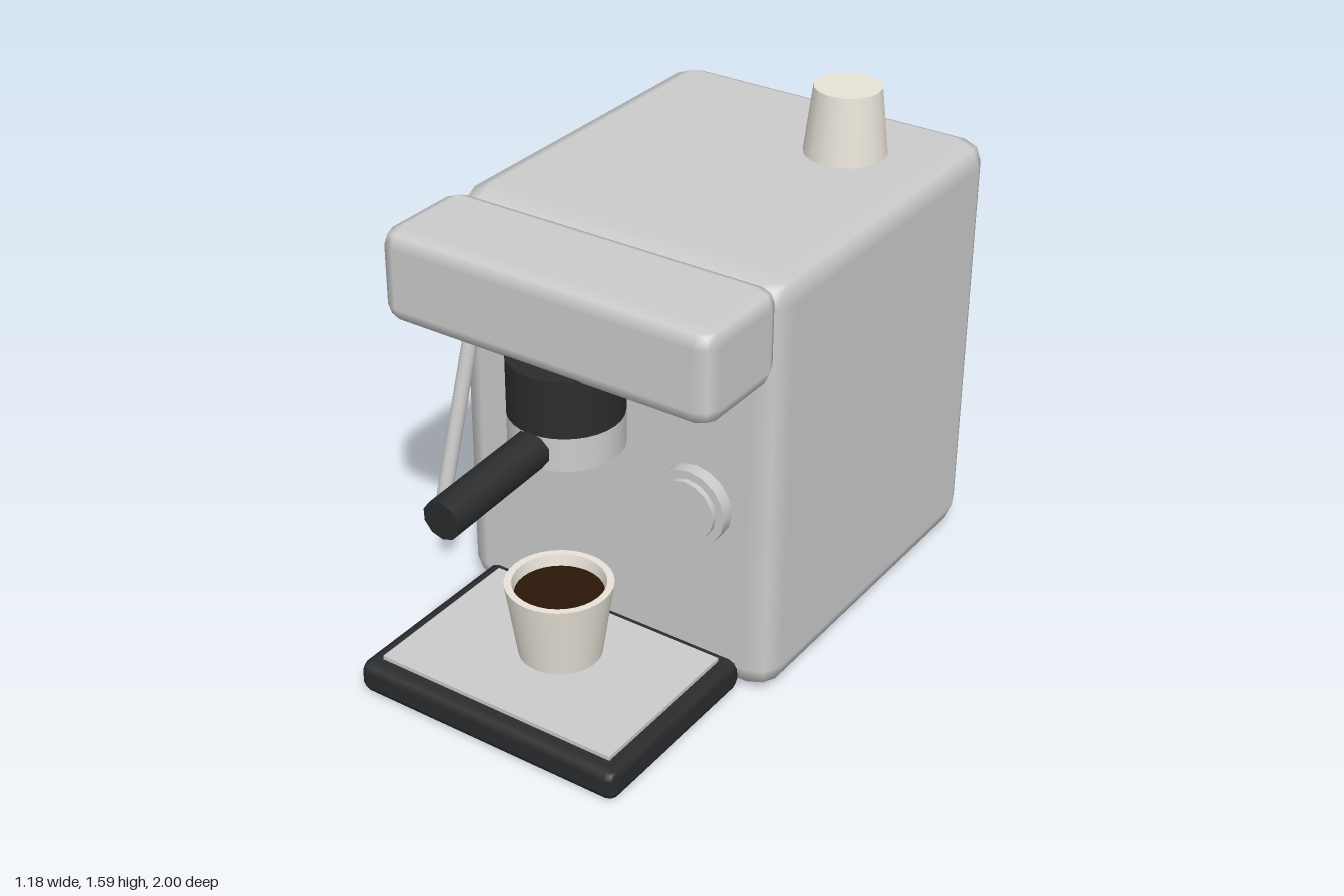
import * as THREE from 'three';
import { RoundedBoxGeometry } from 'three/addons/geometries/RoundedBoxGeometry.js';

const CX = 0.0275; // centre line of the machine (the side knob shifts it off zero)

export function createModel() {
  const model = new THREE.Group();
  const material = (color) => new THREE.MeshStandardMaterial({ color });
  const steel = material(0xcccccc);
  const black = material(0x2a2c2e);
  const cream = material(0xe8e3d8);
  const coffee = material(0x2c1508);

  const add = (name, geometry, mat, x = 0, y = 0, z = 0) => {
    const mesh = new THREE.Mesh(geometry, mat);
    mesh.name = name;
    mesh.position.set(x, y, z);
    model.add(mesh);
    return mesh;
  };

  // Bevelled box given by its extents, two facets per edge
  const block = (name, [x0, x1], [y0, y1], [z0, z1], radius, mat) =>
    add(name, new RoundedBoxGeometry(x1 - x0, y1 - y0, z1 - z0, 1, radius), mat,
      (x0 + x1) / 2, (y0 + y1) / 2, (z0 + z1) / 2);

  // Cylinder running between two points
  const rod = (name, from, to, radius, sides, mat) => {
    const a = new THREE.Vector3(...from), b = new THREE.Vector3(...to);
    const dir = b.clone().sub(a);
    const mesh = add(name, new THREE.CylinderGeometry(radius, radius, dir.length(), sides), mat);
    mesh.position.copy(a).add(b).multiplyScalar(0.5);
    mesh.quaternion.setFromUnitVectors(new THREE.Vector3(0, 1, 0), dir.normalize());
    return mesh;
  };

  // Housing and overhanging head
  block('body', [-0.535, 0.59], [0.003, 1.38], [-1, 0.23], 0.085, steel);
  block('head', [-0.535, 0.585], [1.083, 1.38], [0.206, 0.56], 0.055, steel);

  // Drip tray with its metal plate
  block('dripTray', [-0.435, 0.485], [0.003, 0.106], [0.205, 0.867], 0.03, black);
  add('trayPlate', new THREE.BoxGeometry(0.82, 0.03, 0.555), steel, CX, 0.104, 0.537);

  // Brew group, filter holder and handle
  add('groupHead', new THREE.CylinderGeometry(0.169, 0.169, 0.18, 32), black, CX, 1.013, 0.437);
  add('filterHolder', new THREE.CylinderGeometry(0.169, 0.169, 0.105, 32), steel, CX, 0.8705, 0.437);
  rod('filterHandle', [CX, 0.873, 0.54], [CX, 0.848, 0.997], 0.06, 10, black);

  // Steam wand, front dial and side knob
  rod('steamWand', [-0.433, 1.12, 0.23], [-0.485, 0.41, 0.385], 0.024, 12, steel);
  rod('dialBase', [0.333, 0.615, 0.21], [0.333, 0.615, 0.272], 0.122, 16, steel);
  rod('dialCap', [0.333, 0.615, 0.26], [0.333, 0.615, 0.29], 0.096, 16, steel);
  rod('sideKnob', [-0.595, 0.772, -0.015], [-0.51, 0.772, -0.015], 0.069, 10, black);

  // Hollow cup: outer wall, rim, inner wall, inner floor
  const cupProfile = (bottom, top, height, wall) => [
    [0, 0], [bottom, 0], [bottom, 0], [top, height], [top, height],
    [top - wall, height], [top - wall, height], [bottom - wall, wall], [bottom - wall, wall], [0, wall],
  ].map(([r, y]) => new THREE.Vector2(r, y));

  add('servingCup', new THREE.LatheGeometry(cupProfile(0.126, 0.162, 0.243, 0.022), 32), cream, CX, 0.119, 0.488);
  add('coffee', new THREE.CylinderGeometry(0.137, 0.134, 0.02, 32), coffee, CX, 0.315, 0.488);

  // Spare cup resting upside down on top
  const spare = add('spareCup', new THREE.LatheGeometry(cupProfile(0.103, 0.128, 0.211, 0.02), 16), cream, 0.28, 1.59, -0.638);
  spare.rotation.x = Math.PI;

  return model;
}
